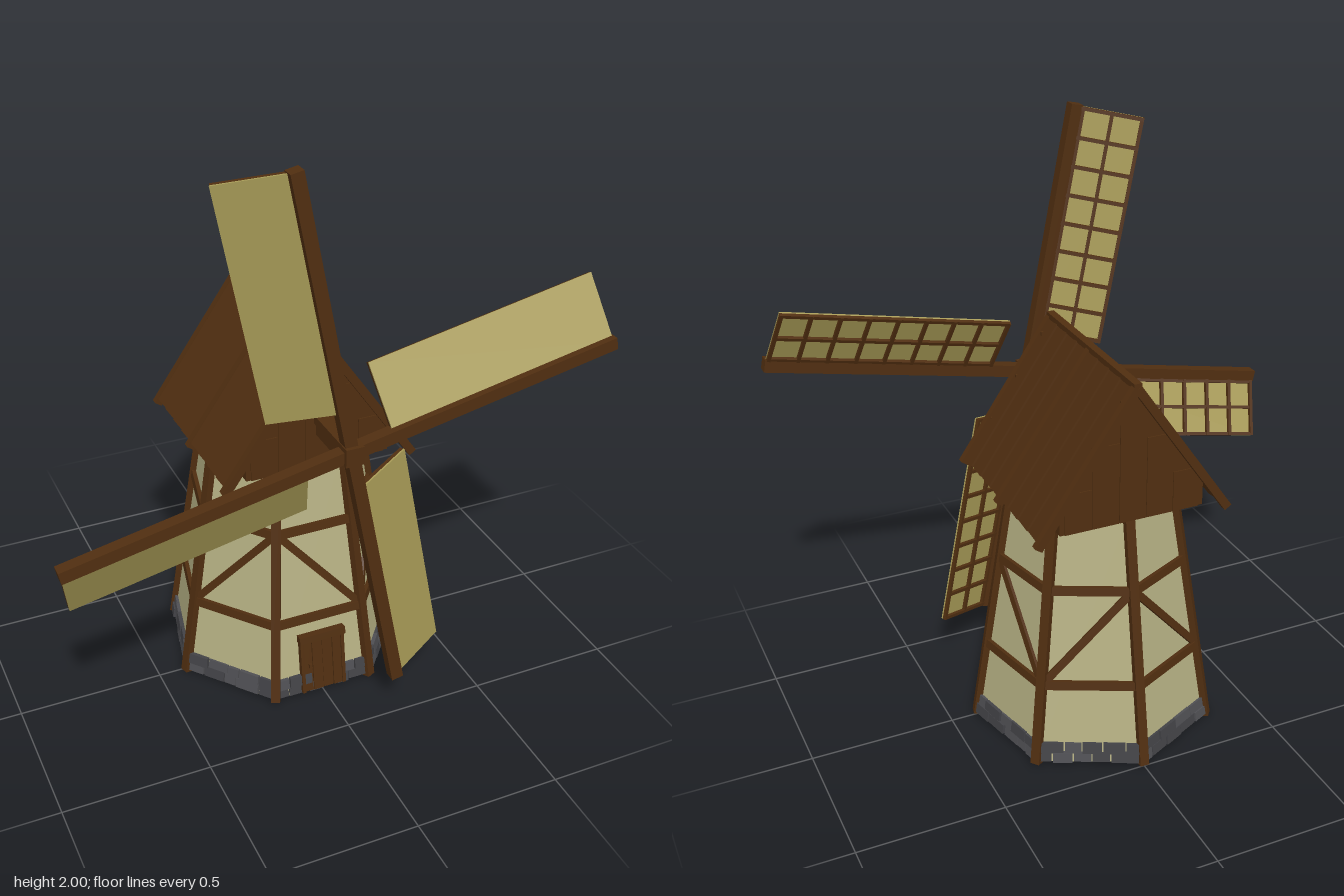
import * as THREE from 'three';

const mat = (name, color) => Object.assign(new THREE.MeshStandardMaterial({ color }), { name });
const V = (x, y, z) => new THREE.Vector3(x, y, z);

export function createModel() {
  const wood = mat('brown wood', 0x502e10);
  const plaster = mat('beige plaster', 0xb5b083);
  const cloth = mat('sail cloth', 0xa89b57);
  const stone = mat('grey stone', 0x505054);
  const darkStone = mat('dark grey stone', 0x434347);

  const model = new THREE.Group();
  model.name = 'windmill';
  const group = (name, parent = model) => {
    const g = new THREE.Group();
    g.name = name;
    parent.add(g);
    return g;
  };
  const add = (parent, name, geometry, material) => {
    const m = new THREE.Mesh(geometry, material);
    m.name = name;
    parent.add(m);
    return m;
  };
  const box = (parent, name, w, h, d, x, y, z, material = wood) => {
    const m = add(parent, name, new THREE.BoxGeometry(w, h, d), material);
    m.position.set(x, y, z);
    return m;
  };
  // Box running from a to b, its thickness t facing the direction out
  const beam = (parent, name, a, b, w, t, out, material = wood) => {
    const y = b.clone().sub(a), len = y.length();
    y.normalize();
    const z = out.clone().addScaledVector(y, -out.dot(y)).normalize();
    const x = y.clone().cross(z);
    const m = add(parent, name, new THREE.BoxGeometry(w, len, t), material);
    m.quaternion.setFromRotationMatrix(new THREE.Matrix4().makeBasis(x, y, z));
    m.position.copy(a).lerp(b, 0.5);
    return m;
  };
  let seed = 7;
  const rand = () => (seed = (seed * 16807) % 2147483647) / 2147483647;

  // Seven-sided tapering tower with one corner at the back
  const SIDES = 7, CZ = -0.08, TOP = 0.89;
  const radius = (y) => 0.412 - 0.158 * y;
  const corner = (i, y, grow = 0) => {
    const a = Math.PI + (i * 2 * Math.PI) / SIDES, r = radius(y) + grow;
    return V(Math.sin(a) * r, y, Math.cos(a) * r + CZ);
  };
  const outward = (i) => {
    const a = Math.PI + (i * 2 * Math.PI) / SIDES;
    return V(Math.sin(a), 0, Math.cos(a));
  };
  const tower = group('tower');
  const wallGeo = new THREE.CylinderGeometry(radius(TOP), radius(0.01), TOP - 0.01, SIDES).toNonIndexed();
  wallGeo.computeVertexNormals();
  const walls = add(tower, 'walls', wallGeo, plaster);
  walls.rotation.y = Math.PI;
  walls.position.set(0, (TOP + 0.01) / 2, CZ);

  // Posts, rails, one brace per side and the rough stone footing
  const LOW = 0.295, HIGH = 0.63;
  const rises = [false, true, true, false, true, false, true];
  rises.forEach((rise, i) => {
    const out = outward(i + 0.5).add(V(0, 0.14, 0));
    beam(tower, 'cornerPost', corner(i, 0.005), corner(i, TOP), 0.032, 0.03, outward(i));
    for (const y of [LOW, HIGH]) {
      beam(tower, 'rail', corner(i, y), corner(i + 1, y), 0.03, 0.028, out);
    }
    beam(tower, 'brace', corner(i, rise ? LOW : HIGH), corner(i + 1, rise ? HIGH : LOW), 0.026, 0.02, out);
    for (let row = 0; row < 2; row++) {
      let t = 0;
      while (t < 0.98) {
        let next = t + 0.12 + rand() * 0.14;
        if (next > 0.9) next = 1;
        const y = 0.03 + row * 0.034;
        const a = corner(i, y).lerp(corner(i + 1, y), t + 0.006);
        const b = corner(i, y).lerp(corner(i + 1, y), next - 0.006);
        beam(tower, 'footingStone', a, b, 0.033 + rand() * 0.006, 0.014 + rand() * 0.018, out,
          rand() < 0.5 ? stone : darkStone);
        t = next;
      }
    }
  });

  // Plank door leaning with the front wall
  const door = group('door');
  door.position.set(0, 0.015, 0.29);
  door.rotation.x = -0.141;
  for (let i = 0; i < 4; i++) {
    box(door, 'doorPlank', 0.036, 0.2, 0.018 + (i % 2) * 0.004, -0.057 + i * 0.038, 0.1, 0.004);
  }
  for (const s of [-1, 1]) box(door, 'doorJamb', 0.012, 0.2, 0.03, s * 0.076, 0.1, 0.005);
  box(door, 'lintel', 0.17, 0.026, 0.038, 0, 0.21, 0.008);
  box(door, 'handle', 0.01, 0.016, 0.012, -0.048, 0.1, 0.018);

  // Roof: solid gable core, overlapping boards, trim rafters and ridge
  const roof = group('roof');
  const gable = new THREE.Shape([[-0.25, 0.885], [0.25, 0.885], [0.25, 0.965], [0, 1.335], [-0.25, 0.965]]
    .map(([x, y]) => new THREE.Vector2(x, y)));
  const core = add(roof, 'gable', new THREE.ExtrudeGeometry(gable, { depth: 0.61, bevelEnabled: false }), wood);
  core.position.z = -0.38;
  for (const z of [-0.38, 0.23]) {
    for (let i = -2; i <= 2; i++) {
      const h = 0.42 - Math.abs(i) * 0.14;
      box(roof, 'gablePlank', 0.092, h, 0.008, i * 0.094, 0.885 + h / 2, z);
    }
  }
  const BOARDS = 8, zFront = 0.25, step = 0.08;
  for (const s of [-1, 1]) {
    const n = V(s * 0.475, 0.325, 0).normalize();
    for (let i = 0; i < BOARDS; i++) {
      const z = zFront - (i + 0.5) * step;
      beam(roof, 'roofBoard', V(0, 1.347, z), V(s * 0.322, 0.882, z), step, 0.016,
        n.clone().add(V(0, 0, 0.09)));
    }
    for (const z of [0.247, -0.07, -0.395]) {
      beam(roof, 'rafterTrim', V(0, 1.347, z), V(s * 0.332, 0.867, z), 0.024, 0.028, n);
    }
  }
  box(roof, 'ridgeBeam', 0.026, 0.02, 0.66, 0, 1.354, -0.075);

  // Axle and the four-armed rotor
  const HUB_Y = 1.065;
  box(model, 'axle', 0.062, 0.062, 0.22, 0, HUB_Y, 0.39);
  box(model, 'axleShaft', 0.035, 0.035, 0.1, 0, HUB_Y, 0.25);
  const rotor = group('rotor');
  rotor.position.set(0, HUB_Y, 0.465);
  rotor.rotation.z = 0.2;
  const IN = 0.147, OUT = 0.947, WIDTH = 0.236;
  for (let k = 0; k < 4; k++) {
    const arm = group('arm', rotor);
    arm.rotation.z = (k * Math.PI) / 2;
    box(arm, 'spar', 0.042, 0.952, 0.042, 0, 0.476, 0);
    // Sail is hinged on the spar and angled backwards
    const sail = group('sail', arm);
    sail.rotation.y = -0.45;
    const mid = (IN + OUT) / 2, len = OUT - IN;
    box(sail, 'cloth', WIDTH, len, 0.006, -WIDTH / 2, mid, 0.004, cloth);
    for (const v of [0.03, WIDTH / 2 + 0.01, WIDTH - 0.006]) {
      box(sail, 'latticeBar', 0.012, len, 0.012, -v, mid, -0.005);
    }
    for (let i = 0; i <= 8; i++) {
      box(sail, 'latticeRung', WIDTH, 0.012, 0.012, -WIDTH / 2, IN + 0.006 + (i * (len - 0.012)) / 8, -0.006);
    }
  }
  return model;
}
